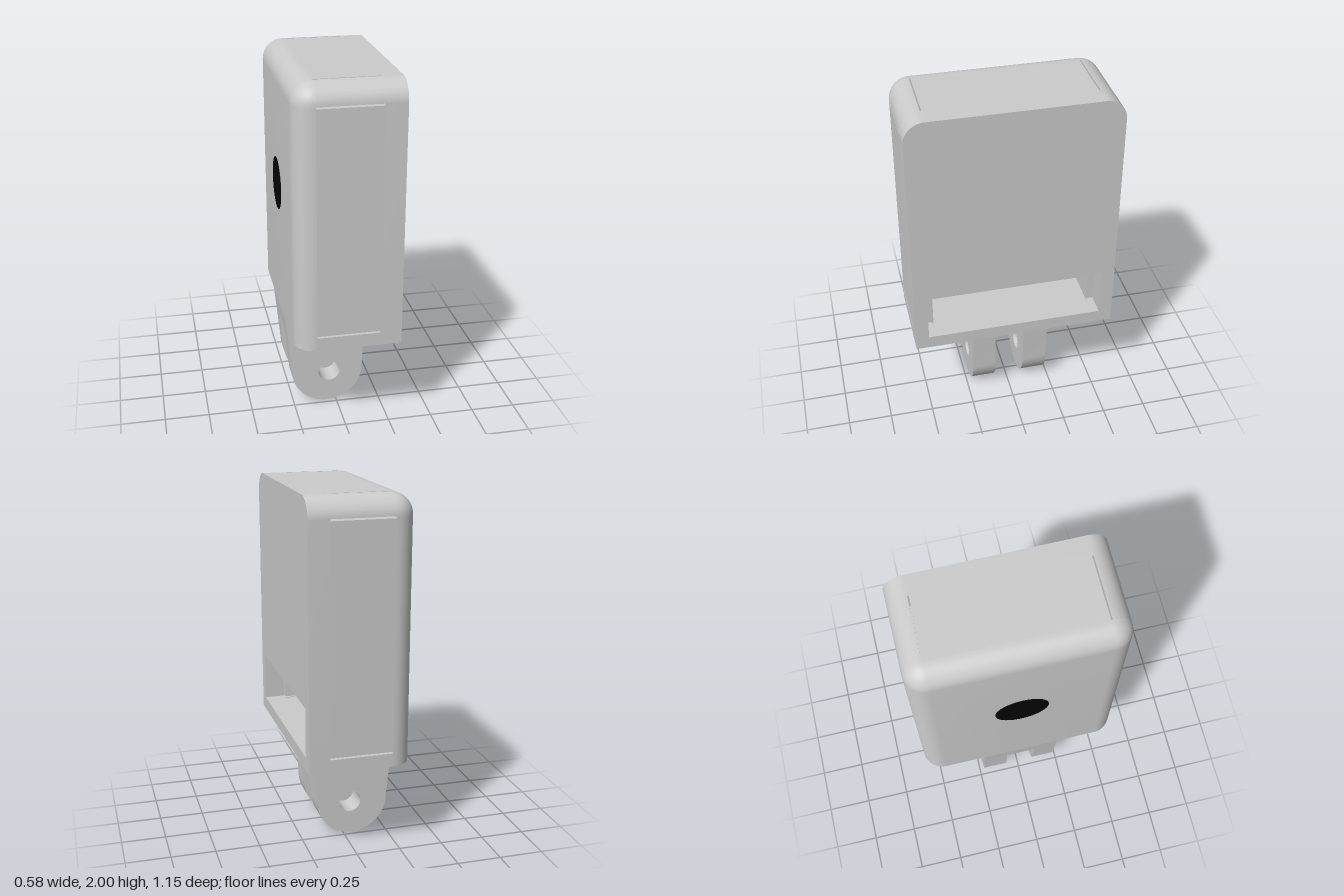
import * as THREE from 'three';
import { toCreasedNormals } from 'three/addons/utils/BufferGeometryUtils.js';

const R = 0.115;                      // edge rounding and wall thickness
const H = 0.575, Y0 = 0.54, Y1 = 2;   // half depth, bottom and top of the case
const XI = 0.175, XO = 0.29;          // inner and outer half width

export function createModel() {
  const group = new THREE.Group();
  const grey = new THREE.MeshStandardMaterial({ color: 0xcccccc });
  const black = new THREE.MeshStandardMaterial({ color: 0x050505 });

  function add(name, geometry, material = grey) {
    const mesh = new THREE.Mesh(geometry, material);
    mesh.name = name;
    group.add(mesh);
    return mesh;
  }
  function box(name, x0, x1, y0, y1, z0, z1) {
    add(name, new THREE.BoxGeometry(x1 - x0, y1 - y0, z1 - z0))
      .position.set((x0 + x1) / 2, (y0 + y1) / 2, (z0 + z1) / 2);
  }
  function extrude(shape, depth) {
    const g = new THREE.ExtrudeGeometry(shape, { depth, bevelEnabled: false, curveSegments: 20 });
    return toCreasedNormals(g, 0.6);
  }
  // Extrude a (z, y) shape along x
  const extrudeX = (shape, x0, x1) =>
    extrude(shape, x1 - x0).rotateY(Math.PI / 2).translate(x0, 0, 0);

  // Flat wall with rounded top corners and the wide slot
  const plate = new THREE.Shape();
  plate.moveTo(-H, Y0);
  plate.lineTo(H, Y0);
  plate.lineTo(H, Y1 - R);
  plate.absarc(H - R, Y1 - R, R, 0, Math.PI / 2);
  plate.lineTo(-H + R, Y1);
  plate.absarc(-H + R, Y1 - R, R, Math.PI / 2, Math.PI);
  plate.closePath();
  const slot = new THREE.Path();
  slot.moveTo(-0.5, 0.615);
  slot.lineTo(-0.5, 0.89);
  slot.lineTo(0.5, 0.89);
  slot.lineTo(0.5, 0.615);
  slot.closePath();
  plate.holes.push(slot);
  add('slottedWall', extrudeX(plate, XI, XO));

  // Rounded wall on the other side
  add('roundedWall', roundedWall());

  // Panels and corner posts around the cavity, with narrow slits between them
  box('topPanel', -XI, XI, 1.89, Y1, -0.457, 0.457);
  box('floorPanel', -XI, XI, Y0, 0.615, -0.457, 0.457);
  for (const s of [-1, 1]) {
    const a = s * 0.455, b = s * H;
    box('sidePanel', -XI, XI, 0.625, 1.88, Math.min(a, b), Math.max(a, b));
    const c = s * 0.465;
    box('bottomCorner', -XI, XI, Y0, 0.615, Math.min(c, b), Math.max(c, b));
    const corner = new THREE.Shape();
    corner.moveTo(0.465, 1.89);
    corner.lineTo(H, 1.89);
    corner.absarc(H - R, Y1 - R, R, 0.043, 1.527);
    corner.lineTo(0.465, Y1);
    corner.closePath();
    const g = extrudeX(corner, -XI, XI);
    if (s > 0) g.rotateY(Math.PI);
    add('topCorner', g);
  }

  // Dark round window on the rounded wall
  const disc = add('window', new THREE.CylinderGeometry(0.147, 0.147, 0.02, 48), black);
  disc.rotation.z = Math.PI / 2;
  disc.position.set(-XO + 0.008, 1.3, 0);

  // Forked mount: two drilled prongs joined by a bridge
  const prong = new THREE.Shape();
  prong.moveTo(-0.29, Y0);
  prong.lineTo(-0.257, 0.205);
  prong.absellipse(-0.052, 0.205, 0.205, 0.205, Math.PI, 2 * Math.PI, false);
  prong.lineTo(0.17, Y0);
  prong.closePath();
  const bore = new THREE.Path();
  bore.absarc(-0.04, 0.195, 0.063, 0, Math.PI * 2, true);
  prong.holes.push(bore);
  add('frontProng', extrude(prong, 0.137).translate(0, 0, 0.088));
  add('backProng', extrude(prong, 0.143).translate(0, 0, -0.225));

  const bridge = new THREE.Shape();
  bridge.moveTo(-0.29, Y0);
  bridge.lineTo(-0.279, 0.43);
  bridge.lineTo(0.165, 0.43);
  bridge.lineTo(0.17, Y0);
  bridge.closePath();
  add('bridge', extrude(bridge, 0.17).translate(0, 0, -0.082));

  return group;
}

// Outline rows that shrink along a quarter circle towards -x; the bottom stays flat
function roundedWall() {
  const rows = 12, arc = 12, pos = [], idx = [], n = 2 * (arc + 1) + 2;
  for (let i = 0; i <= rows; i++) {
    const a = (i / rows) * Math.PI / 2;
    const r = R * Math.cos(a), x = -XI - R * Math.sin(a);
    pos.push(x, Y0, -(H - R) - r);
    for (const s of [-1, 1]) {
      for (let k = 0; k <= arc; k++) {
        const t = ((s < 0 ? k : arc - k) / arc) * Math.PI / 2;
        pos.push(x, Y1 - R + r * Math.sin(t), s * (H - R + r * Math.cos(t)));
      }
    }
    pos.push(x, Y0, H - R + r);
  }
  const inner = pos.length / 3, outer = inner + 1;
  pos.push(-XI, 1.25, 0, -XO, 1.25, 0);
  for (let j = 0; j < n; j++) {
    const k = (j + 1) % n;
    for (let i = 0; i < rows; i++) {
      const a = i * n + j, b = i * n + k, c = b + n, d = a + n;
      idx.push(a, d, b, b, d, c);
    }
    idx.push(inner, j, k, outer, rows * n + k, rows * n + j);
  }
  const g = new THREE.BufferGeometry();
  g.setAttribute('position', new THREE.Float32BufferAttribute(pos, 3));
  g.setIndex(idx);
  return toCreasedNormals(g, 0.6);
}
